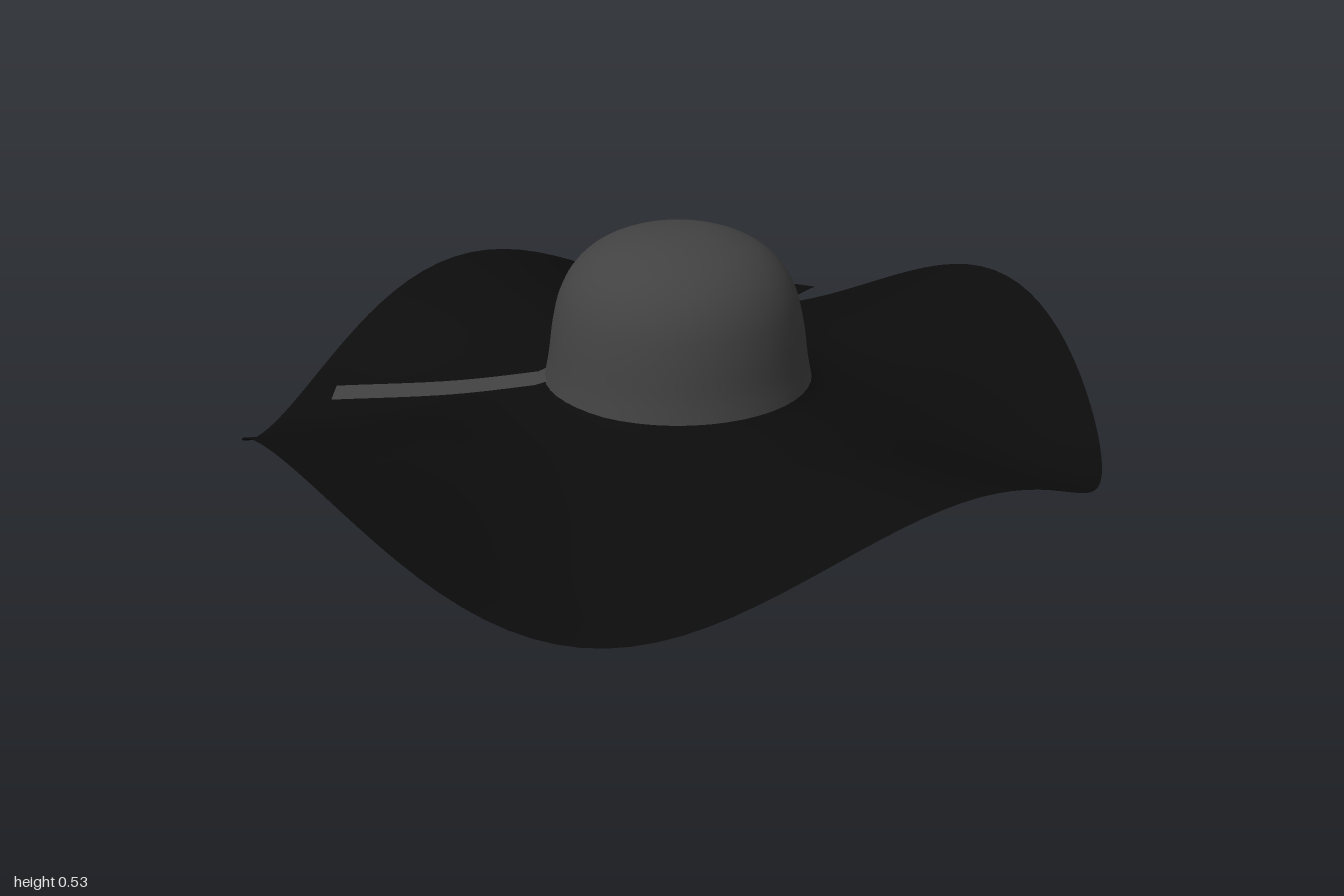
import * as THREE from 'three';
import { ParametricGeometry } from 'three/addons/geometries/ParametricGeometry.js';

const material = (color) => new THREE.MeshStandardMaterial({ color, side: THREE.DoubleSide });
const black = material(0x0c0c0c);
const grey = material(0x424242);

// Brim cross-section: x = radius, y = mean height, z = wave height
const brimProfile = new THREE.CatmullRomCurve3([
  [0.295, 0.185, 0], [0.33, 0.168, 0.004], [0.45, 0.142, 0.015], [0.65, 0.122, 0.058],
  [0.82, 0.115, 0.089], [1, 0.119, 0.1115],
].map((p) => new THREE.Vector3(...p)));

// Four waves run around the brim, high on the axes and low on the diagonals
function brimPoint(t, angle, target) {
  const p = brimProfile.getPoint(t);
  const c = Math.cos(angle);
  const y = p.y + p.z * Math.cos(4 * angle) - 0.015 * c * c * t;
  return target.set(p.x * c * (1 - 0.05 * t), Math.max(0, y), p.x * Math.sin(angle));
}

// Height of the brim at a given radius and angle
function brimHeight(x, z) {
  const r = Math.hypot(x, z);
  let low = 0, high = 1;
  const p = new THREE.Vector3();
  for (let i = 0; i < 20; i++) {
    const mid = (low + high) / 2;
    brimPoint(mid, Math.atan2(z, x), p);
    if (Math.hypot(p.x, p.z) < r) low = mid; else high = mid;
  }
  return p.y;
}

// Flat ribbon swept along a smooth path
function ribbon(points, width, mat, name) {
  const path = new THREE.CatmullRomCurve3(points.map((p) => new THREE.Vector3(...p)));
  const geometry = new ParametricGeometry((u, v, target) => {
    const side = path.getTangent(u).cross(new THREE.Vector3(0, 1, 0)).normalize();
    target.copy(path.getPoint(u)).addScaledVector(side, (v - 0.5) * width);
    target.y = Math.max(target.y, brimHeight(target.x, target.z) + 0.006);
  }, 16, 4);
  const mesh = new THREE.Mesh(geometry, mat);
  mesh.name = name;
  return mesh;
}

export function createModel() {
  const hat = new THREE.Group();
  hat.name = 'floppyHat';
  const add = (geometry, mat, name) => {
    const mesh = new THREE.Mesh(geometry, mat);
    mesh.name = name;
    hat.add(mesh);
    return mesh;
  };

  // Wavy brim
  add(new ParametricGeometry((u, v, target) => brimPoint(u, v * Math.PI * 2, target), 24, 128), black, 'brim');

  // Domed crown, open underneath
  const dome = new THREE.SplineCurve([
    [0.308, 0.178], [0.298, 0.23], [0.287, 0.31], [0.268, 0.385], [0.232, 0.445],
    [0.175, 0.49], [0.09, 0.52], [0, 0.528],
  ].map((p) => new THREE.Vector2(...p)));
  const profile = dome.getPoints(28);
  profile[28].x = 0;
  add(new THREE.LatheGeometry(profile, 48), grey, 'crown');

  // Ribbon ends trailing over the brim
  hat.add(
    ribbon([[-0.13, 0.185, 0.23], [-0.28, 0.152, 0.43], [-0.44, 0.14, 0.66]], 0.085, grey, 'frontRibbon'),
    ribbon([[-0.17, 0.19, -0.23], [-0.35, 0.135, -0.51], [-0.52, 0.085, -0.79]], 0.07, black, 'longRibbonTail'),
    ribbon([[-0.23, 0.19, -0.18], [-0.42, 0.14, -0.34], [-0.62, 0.1, -0.52]], 0.085, black, 'shortRibbonTail'),
  );

  // Small ribbon knots tucked under the crown edge
  for (const side of [1, -1]) {
    const knot = add(new THREE.SphereGeometry(0.04, 16, 10), black, 'ribbonKnot');
    knot.scale.set(1, 0.45, 0.6);
    knot.position.set(-0.1, 0.158, 0.22 * side);
  }

  // Small discs scattered on the underside of the brim
  const spots = [
    [0.49, -0.19], [0.15, -0.42], [-0.11, -0.34], [-0.19, -0.52], [0.34, 0.12], [0.28, 0.59],
    [0.02, 0.31], [-0.04, 0.61], [-0.17, 0.29], [-0.38, 0.07], [-0.59, 0.07], [-0.49, 0.55],
  ];
  for (const [x, z] of spots) {
    const e = 0.02;
    const slopeX = (brimHeight(x + e, z) - brimHeight(x - e, z)) / (2 * e);
    const slopeZ = (brimHeight(x, z + e) - brimHeight(x, z - e)) / (2 * e);
    const disc = add(new THREE.CircleGeometry(0.028, 16), grey, 'undersideSpot');
    disc.position.set(x, brimHeight(x, z) - 0.004, z);
    disc.quaternion.setFromUnitVectors(
      new THREE.Vector3(0, 0, 1), new THREE.Vector3(slopeX, -1, slopeZ).normalize());
  }
  return hat;
}
